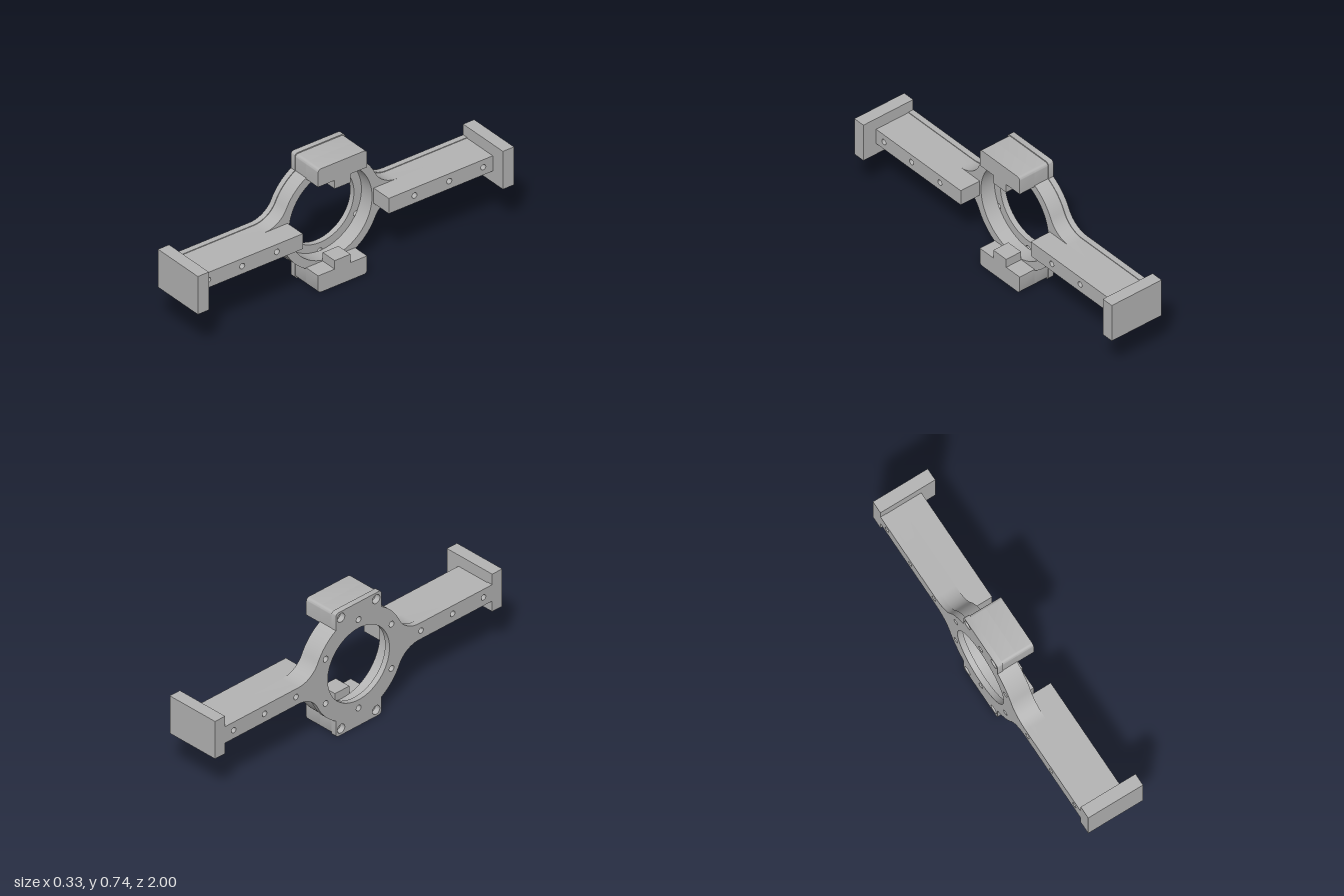
import * as THREE from 'three';
import { toCreasedNormals } from 'three/addons/utils/BufferGeometryUtils.js';

const CY = 0.372; // height of the ring axis
const ARM_HOLES = [0.435, 0.655, 0.87];

// Sampled arc as [x, y] pairs
function arc(cx, cy, r, a0, a1, n) {
  return Array.from({ length: n + 1 }, (_, i) => {
    const a = a0 + (a1 - a0) * i / n;
    return [cx + r * Math.cos(a), cy + r * Math.sin(a)];
  });
}

function circle(x, y, r, n = 20) {
  return new THREE.Path(arc(x, y, r, 0, Math.PI * 2, n).slice(0, -1).map(p => new THREE.Vector2(...p)));
}

function toShape(points) {
  return new THREE.Shape(points.map(p => new THREE.Vector2(...p)));
}

// Bracket outline: arm, fillet, ring arc and square pad, mirrored into four quadrants
function bracketShape(grow) {
  const R = 0.31 + grow, h = 0.045 + grow, fx = 0.42;
  const rf = (fx * fx + h * h - R * R) / (2 * (R - h));
  const a = Math.atan2(h + rf, fx);
  const padX = 0.155 + grow, padY = 0.364 + grow * 1.5, c = 0.018;
  const q = [
    [0.93, h],
    ...arc(fx, h + rf, rf, -Math.PI / 2, a - Math.PI, 14),
    ...arc(0, 0, R, a, Math.acos(padX / R), 12).slice(1),
    ...arc(padX - c, padY - c, c, 0, Math.PI / 2, 5),
  ];
  const flip = (sx, sy) => q.map(([x, y]) => [x * sx, y * sy]);
  return toShape([...q, ...flip(-1, 1).reverse(), ...flip(-1, -1), ...flip(1, -1).reverse()]);
}

export function createModel() {
  const group = new THREE.Group();
  const grey = new THREE.MeshStandardMaterial({ color: 0xb4b4b4 });
  grey.name = 'plain grey';

  const add = (name, geo) => {
    const mesh = new THREE.Mesh(geo, grey);
    mesh.name = name;
    group.add(mesh);
    return mesh;
  };
  // Extrude a side-on shape between two x positions
  const slab = (name, shape, x0, x1) => {
    const geo = new THREE.ExtrudeGeometry(shape, { depth: x1 - x0, bevelEnabled: false, curveSegments: 24 });
    geo.rotateY(Math.PI / 2);
    geo.translate(x0, CY, 0);
    return add(name, toCreasedNormals(geo, 0.5));
  };
  const drill = (shape, cornerRadius) => {
    for (const s of [-1, 1]) {
      for (const z of ARM_HOLES) shape.holes.push(circle(s * z, 0, 0.016));
      for (const t of [-1, 1]) shape.holes.push(circle(s * 0.122, t * 0.332, cornerRadius));
    }
  };

  // Back plate with the narrow bore and the bolt circle
  const back = bracketShape(0.004);
  back.holes.push(circle(0, 0, 0.215, 72));
  for (let i = 0; i < 6; i++) {
    const a = Math.PI / 6 + i * Math.PI / 3;
    back.holes.push(circle(0.265 * Math.cos(a), 0.265 * Math.sin(a), 0.017));
  }
  drill(back, 0.026);
  slab('backPlate', back, -0.163, -0.131);

  // Main body with the wider counterbore
  const body = bracketShape(0);
  body.holes.push(circle(0, 0, 0.262, 72));
  drill(body, 0.016);
  slab('ringBody', body, -0.131, -0.044);

  for (const s of [-1, 1]) {
    // Pad block with an inward centre tab
    const c = 0.018;
    const half = [[0.05, 0.212], [0.05, 0.262], [0.155, 0.262], ...arc(0.155 - c, 0.364 - c, c, 0, Math.PI / 2, 5)];
    const pts = [...half, ...half.map(([x, y]) => [-x, y]).reverse()].map(([x, y]) => [x, y * s]);
    slab(s > 0 ? 'upperPad' : 'lowerPad', toShape(pts), -0.044, 0.054);

    // Thickened, drilled arm
    const arm = toShape([[0.272, -0.045], [0.93, -0.045], [0.93, 0.045], [0.272, 0.045]].map(([x, y]) => [x * s, y]));
    for (const z of ARM_HOLES) arm.holes.push(circle(s * z, 0, 0.016));
    slab(s > 0 ? 'backArm' : 'frontArm', arm, -0.044, 0.08);

    // End plate
    const end = add(s > 0 ? 'frontEndPlate' : 'backEndPlate', new THREE.BoxGeometry(0.326, 0.224, 0.07));
    end.position.set(0, CY, s * 0.965);
  }
  return group;
}
